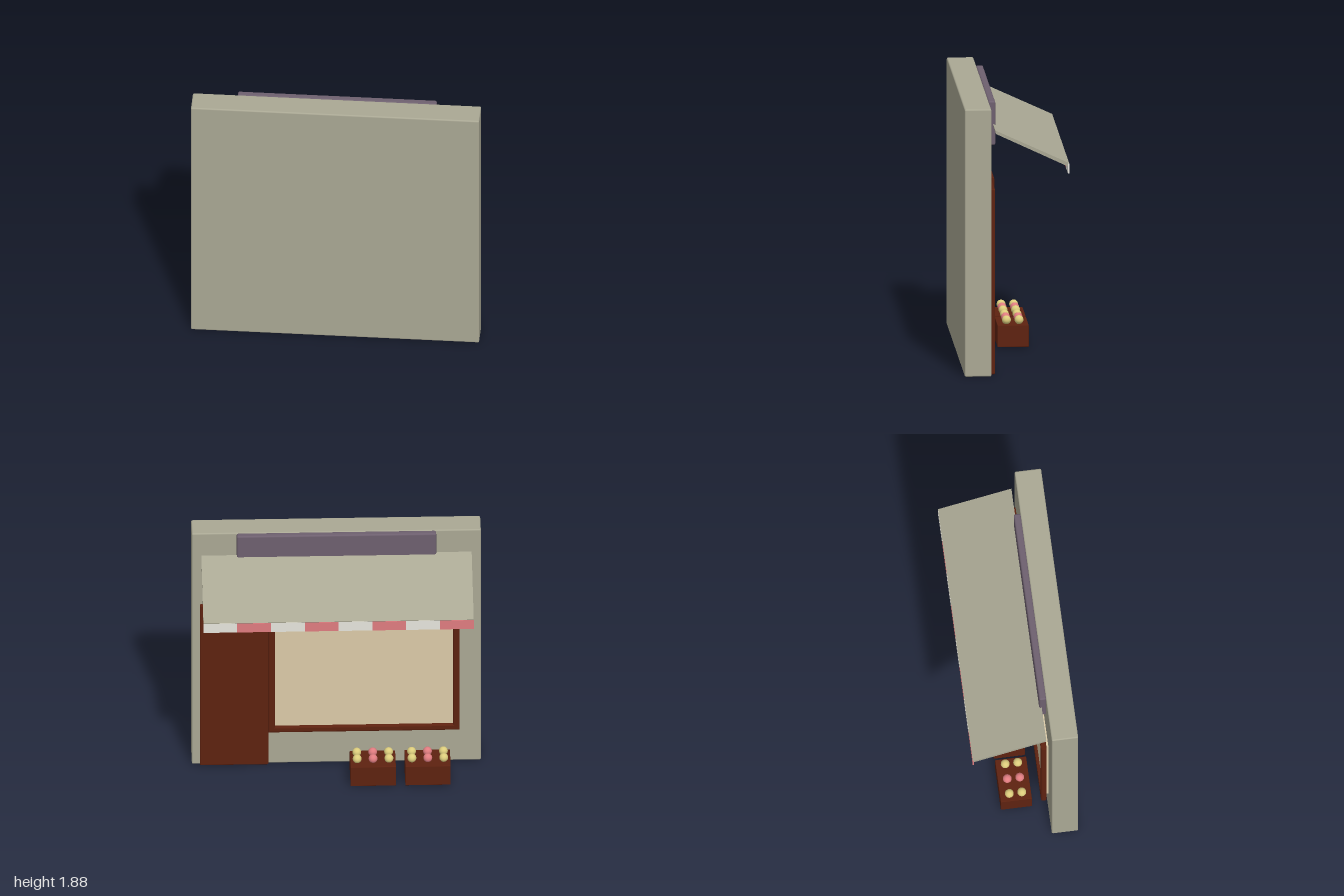
import * as THREE from 'three';
import { RoundedBoxGeometry } from 'three/addons/geometries/RoundedBoxGeometry.js';

const material = (name, color) => {
  const m = new THREE.MeshStandardMaterial({ color });
  m.name = name;
  return m;
};

export function createModel() {
  const stone = material('stone', 0xaaa894);
  const wood = material('darkWood', 0x5e2210);
  const plum = material('plum', 0x6e606f);
  const cream = material('cream', 0xdccba8);
  const white = material('white', 0xe8e6de);
  const pink = material('pink', 0xe07c80);
  const yellow = material('yellow', 0xdccc7c);

  const model = new THREE.Group();
  model.name = 'shopfront';

  const add = (name, geometry, mat, parent = model) => {
    const mesh = new THREE.Mesh(geometry, mat);
    mesh.name = name;
    parent.add(mesh);
    return mesh;
  };
  // Box from its limits, with optional rounded edges
  const box = (name, mat, [x0, x1], [y0, y1], [z0, z1], radius = 0, parent = model) => {
    const size = [x1 - x0, y1 - y0, z1 - z0];
    const geometry = radius
      ? new RoundedBoxGeometry(...size, 2, radius)
      : new THREE.BoxGeometry(...size);
    const mesh = add(name, geometry, mat, parent);
    mesh.position.set((x0 + x1) / 2, (y0 + y1) / 2, (z0 + z1) / 2);
    return mesh;
  };

  // Wall, door and sign board; the shop side looks toward -z
  box('wall', stone, [-1, 1], [0, 1.88], [0.18, 0.365], 0.01);
  box('door', wood, [0.47, 0.945], [0.005, 1.31], [0.15, 0.182], 0.01);
  box('signBoard', plum, [-0.69, 0.69], [1.57, 1.88], [0.133, 0.182], 0.012);

  // Window: bevelled frame around a recessed pane
  const rect = (Type, x0, x1, y0, y1) => {
    const path = new Type();
    path.moveTo(x0, y0);
    path.lineTo(x1, y0);
    path.lineTo(x1, y1);
    path.lineTo(x0, y1);
    path.closePath();
    return path;
  };
  const bevel = 0.01;
  const outline = rect(THREE.Shape, -0.84, 0.46, 0.29, 1.29);
  outline.holes.push(rect(THREE.Path, -0.815, 0.435, 0.315, 1.265));
  const frame = add('windowFrame', new THREE.ExtrudeGeometry(outline, {
    depth: 0.02, bevelEnabled: true, bevelSize: bevel, bevelThickness: bevel, bevelSegments: 2,
  }), wood);
  frame.position.z = 0.125 + bevel;
  box('windowPane', cream, [-0.815, 0.435], [0.315, 1.265], [0.148, 0.181]);

  // Sloping awning, drawn in side profile and extruded along x
  const awning = new THREE.Group();
  awning.name = 'awning';
  model.add(awning);
  const half = 0.935;
  const profile = new THREE.Shape([
    [-0.15, 1.72], [-0.145, 1.695], [0.352, 1.462], [0.362, 1.485],
  ].map(([x, y]) => new THREE.Vector2(x, y)));
  const canopy = add('canopy', new THREE.ExtrudeGeometry(profile, {
    depth: half * 2, bevelEnabled: false,
  }), stone, awning);
  canopy.rotation.y = Math.PI / 2;
  canopy.position.x = -half;
  // Profile x points toward -z after the turn

  // Striped valance along the awning's lower edge
  const count = 8;
  const step = (half * 2) / count;
  for (let i = 0; i < count; i++) {
    const x = -half + i * step;
    box('valanceStripe', i % 2 ? white : pink, [x, x + step], [1.41, 1.482], [-0.363, -0.354], 0, awning);
  }

  // Two crates, each with two rows of three fruits
  const fruit = new THREE.SphereGeometry(0.031, 20, 14);
  for (const cx of [-0.246, -0.625]) {
    const crate = new THREE.Group();
    crate.name = 'fruitCrate';
    model.add(crate);
    box('crate', wood, [cx - 0.157, cx + 0.157], [0.005, 0.16], [-0.147, 0.07], 0.004, crate);
    for (let column = -1; column <= 1; column++) {
      for (const z of [0.005, -0.082]) {
        const ball = add('fruit', fruit, column ? yellow : pink, crate);
        ball.position.set(cx + column * 0.11, 0.189, z);
      }
    }
  }

  return model;
}
